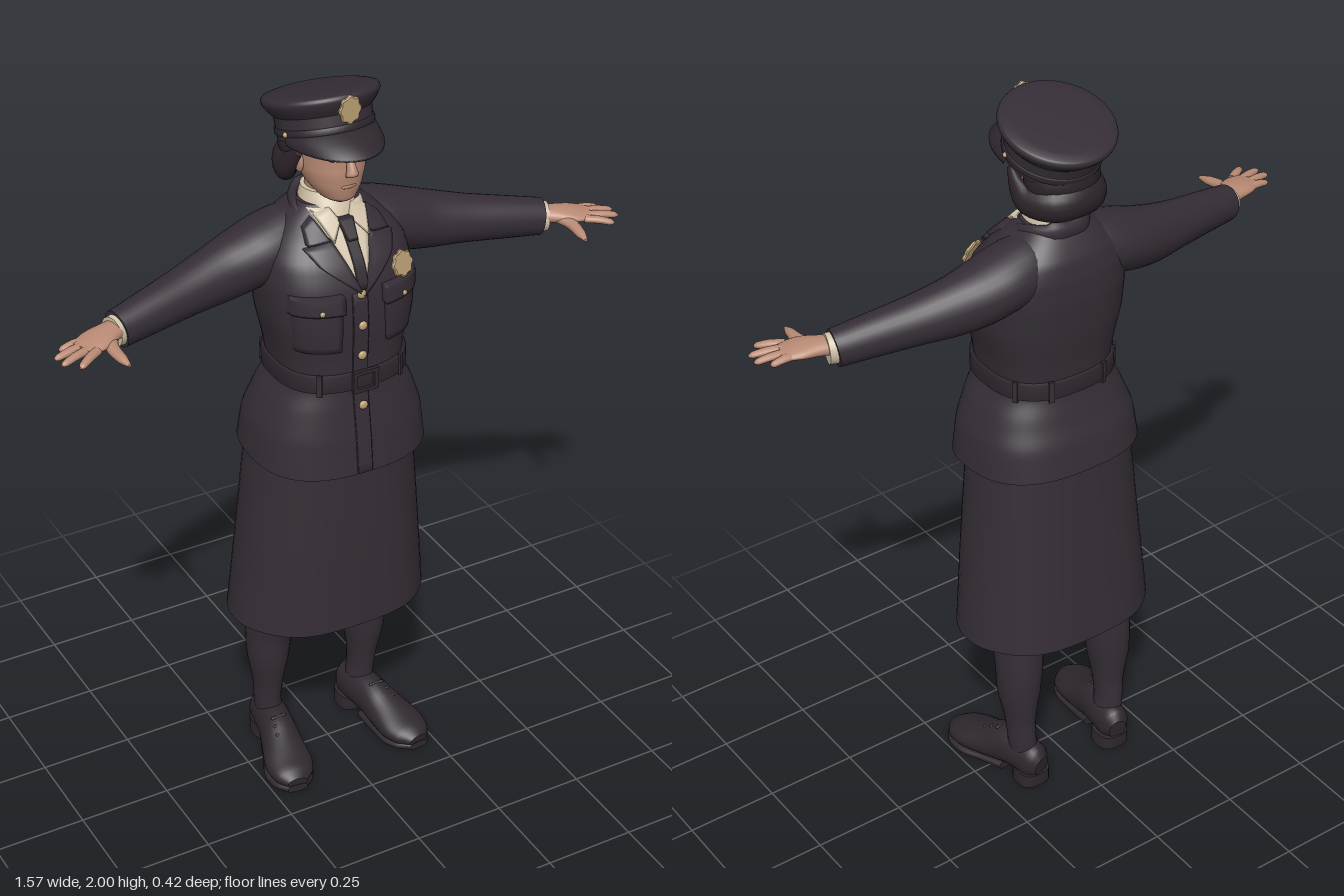
import * as THREE from 'three';

const V = (x, y, z) => new THREE.Vector3(x, y, z);
const mat = (name, color) => Object.assign(new THREE.MeshStandardMaterial({ color }), { name });
const M = {
  wool: mat('uniform wool', 0x352d36), stocking: mat('stocking', 0x352d36),
  leather: mat('dark leather', 0x2f282f), hair: mat('hair', 0x2c2329),
  skin: mat('skin', 0xb98a74), lip: mat('lip', 0xa5745f), brow: mat('brow', 0x7a6157),
  shirt: mat('cream shirt', 0xd0c1a9), brass: mat('brass', 0xbaa074),
};
const sides = [1, -1];

// Smooth skin over rows of points, optionally wrapped round and capped
function skinRows(rows, closed = false, caps = false) {
  const pos = [], idx = [], w = rows[0].length, last = rows.length - 1;
  rows.forEach(r => r.forEach(p => pos.push(p.x, p.y, p.z)));
  for (let i = 0; i < last; i++) for (let j = 0; j < (closed ? w : w - 1); j++) {
    const a = i * w + j, b = i * w + (j + 1) % w, c = a + w, d = b + w;
    idx.push(a, c, b, b, c, d);
  }
  if (caps) [0, last].forEach(k => {
    const start = pos.length / 3, mid = V(0, 0, 0);
    rows[k].forEach(p => { pos.push(p.x, p.y, p.z); mid.addScaledVector(p, 1 / w); });
    pos.push(mid.x, mid.y, mid.z);
    for (let j = 0; j < w; j++) {
      const a = start + j, b = start + (j + 1) % w;
      idx.push(start + w, k ? b : a, k ? a : b);
    }
  });
  const g = new THREE.BufferGeometry();
  g.setAttribute('position', new THREE.Float32BufferAttribute(pos, 3));
  g.setIndex(idx);
  g.computeVertexNormals();
  return g;
}

// Sections are [x, y, z, radius along ref, other radius]
function sample(S, n) {
  if (n === 1) return S;
  const a = new THREE.CatmullRomCurve3(S.map(s => V(s[0], s[1], s[2])));
  const b = new THREE.CatmullRomCurve3(S.map(s => V(s[3], s[4], 0)));
  const N = (S.length - 1) * n;
  return Array.from({ length: N + 1 }, (_, i) => {
    const p = a.getPoint(i / N), r = b.getPoint(i / N);
    return [p.x, p.y, p.z, Math.max(r.x, 0.001), Math.max(r.y, 0.001)];
  });
}
const pw = (v, e) => Math.sign(v) * Math.abs(v) ** e;
function loft(S, { n = 4, seg = 28, ref = V(1, 0, 0), dir = null, e = 1, fold = 0, caps = true } = {}) {
  const R = sample(S, n);
  const rows = R.map((s, i) => {
    const p = R[Math.max(i - 1, 0)], q = R[Math.min(i + 1, R.length - 1)];
    const d = dir || V(q[0] - p[0], q[1] - p[1], q[2] - p[2]).normalize();
    const u = ref.clone().addScaledVector(d, -ref.dot(d)).normalize();
    const v = u.clone().cross(d);
    return Array.from({ length: seg }, (_, j) => {
      const t = j / seg * Math.PI * 2, f = 1 + fold * Math.cos(6 * t) * (1 - i / R.length);
      return V(s[0], s[1], s[2]).addScaledVector(u, s[3] * f * pw(Math.cos(t), e))
        .addScaledVector(v, s[4] * f * pw(Math.sin(t), e));
    });
  });
  return skinRows(rows, true, caps);
}
const UP = V(0, 1, 0);
const body = { dir: UP, seg: 48 };
// Horizontal section from height, half width, front z and back z
const sec = (y, hw, zf, zb, x = 0) => [x, y, (zf + zb) / 2, hw, (zf - zb) / 2];

const E = 0.78;
const torso = sample([
  sec(1.0, 0.238, 0.212, -0.183), sec(1.1, 0.226, 0.202, -0.168), sec(1.18, 0.198, 0.19, -0.143),
  sec(1.25, 0.165, 0.182, -0.125), sec(1.32, 0.173, 0.181, -0.13), sec(1.42, 0.193, 0.183, -0.143),
  sec(1.5, 0.198, 0.176, -0.148), sec(1.57, 0.19, 0.15, -0.146), sec(1.62, 0.16, 0.112, -0.135),
  sec(1.66, 0.118, 0.075, -0.11), sec(1.69, 0.08, 0.05, -0.085)], 5);
function torsoAt(y) {
  let i = torso.findIndex(s => s[1] >= y);
  if (i < 1) i = i < 0 ? torso.length - 1 : 1;
  const a = torso[i - 1], b = torso[i], k = THREE.MathUtils.clamp((y - a[1]) / (b[1] - a[1]), 0, 1);
  return a.map((v, j) => v + (b[j] - v) * k);
}
function chestZ(x, y) {
  const s = torsoAt(y), q = Math.min(Math.abs(x) / s[3], 0.98);
  return s[2] + s[4] * (1 - q ** (2 / E)) ** (E / 2);
}
// Cloth plate laid on the chest; corners run anticlockwise from bottom left
function drape([A, B, C, D], off, n = 8) {
  const rows = [];
  for (let i = -1; i <= n + 1; i++) {
    const row = [], u = THREE.MathUtils.clamp(i / n, 0, 1);
    for (let j = -1; j <= n + 1; j++) {
      const v = THREE.MathUtils.clamp(j / n, 0, 1), rim = i < 0 || j < 0 || i > n || j > n;
      const [x, y] = [0, 1].map(k => (1 - v) * ((1 - u) * A[k] + u * B[k]) + v * ((1 - u) * D[k] + u * C[k]));
      row.push(V(x, y, chestZ(x, y) + (rim ? -0.008 : off)));
    }
    rows.push(row);
  }
  return skinRows(rows);
}
const flip = (q, s) => s > 0 ? q : [q[1], q[0], q[3], q[2]].map(p => [-p[0], p[1]]);

// Scalloped shield
function badge(w, h) {
  const pts = Array.from({ length: 48 }, (_, i) => {
    const t = i / 48 * Math.PI * 2, r = 0.93 + 0.07 * Math.cos(8 * t);
    return new THREE.Vector2(w * r * Math.cos(t), h * r * Math.sin(t));
  });
  return new THREE.ExtrudeGeometry(new THREE.Shape(pts), {
    depth: 0.005, bevelSize: 0.003, bevelThickness: 0.003, bevelSegments: 1 });
}

export function createModel() {
  const root = new THREE.Group();
  root.name = 'uniformedWoman';
  const add = (name, geo, m, parent = root) => {
    const mesh = new THREE.Mesh(geo, m);
    mesh.name = name;
    parent.add(mesh);
    return mesh;
  };
  const ball = (name, m, p, r) => {
    const b = add(name, new THREE.SphereGeometry(1, 20, 14), m);
    b.position.set(...p); b.scale.set(...r);
  };

  // Skirt, open at the hem, with its inside running down from a closed top
  const hem = sec(0.495, 0.274, 0.178, -0.21), skirt = { ...body, e: 0.87, caps: false };
  add('skirt', loft([hem, sec(0.75, 0.25, 0.174, -0.186), sec(1.05, 0.222, 0.163, -0.158)],
    { ...skirt, n: 6, fold: 0.012 }), M.wool);
  add('skirtLining', loft([sec(0.75, 0.005, 0.005, -0.005), sec(0.75, 0.235, 0.16, -0.17), sec(0.62, 0.25, 0.165, -0.185), hem],
    { ...skirt, n: 1, fold: 0.048 }), M.wool);

  // Jacket with the hem rising to the back, placket, belt
  const jacket = loft(torso, { ...body, n: 1, e: E }), jp = jacket.attributes.position;
  for (let i = 0; i < jp.count; i++) {
    const lift = 0.07 * (0.2 - jp.getZ(i)) * Math.max(0, (1.15 - jp.getY(i)) / 0.15);
    jp.setY(i, jp.getY(i) + lift);
  }
  jacket.computeVertexNormals();
  add('jacket', jacket, M.wool);
  add('placket', drape([[-0.03, 1.002], [0.012, 1.002], [0.012, 1.5], [-0.03, 1.5]], 0.004, 20), M.wool);
  const beltRing = (y, k) => { const s = torsoAt(y); return [0, y, s[2], s[3] + k, s[4] + k]; };
  add('belt', loft([beltRing(1.235, 0.002), beltRing(1.238, 0.009), beltRing(1.282, 0.009), beltRing(1.285, 0.002)],
    { ...body, n: 1, e: E }), M.leather);
  const frame = new THREE.Shape([[-0.036, -0.03], [0.036, -0.03], [0.036, 0.03], [-0.036, 0.03]].map(p => new THREE.Vector2(...p)));
  frame.holes.push(new THREE.Path([[-0.024, -0.019], [-0.024, 0.019], [0.024, 0.019], [0.024, -0.019]].map(p => new THREE.Vector2(...p))));
  add('buckle', new THREE.ExtrudeGeometry(frame, { depth: 0.01, bevelEnabled: false }), M.leather)
    .position.set(0, 1.26, chestZ(0, 1.26) + 0.007);
  const waist = torsoAt(1.26);
  [0.3, 0.7, 1.18, 1.38, 1.62, 1.82].forEach(k => {
    const t = k * Math.PI, loop = add('beltLoop', new THREE.BoxGeometry(0.014, 0.06, 0.007), M.wool);
    loop.position.set((waist[3] + 0.01) * pw(Math.cos(t), E), 1.26, waist[2] + (waist[4] + 0.01) * pw(Math.sin(t), E));
    loop.rotation.y = Math.PI / 2 - t;
  });
  [1.19, 1.33, 1.415, 1.5].forEach(y =>
    ball('button', M.brass, [-0.006, y, chestZ(0, y) + 0.007], [0.012, 0.012, 0.007]));

  // Shirt front, tie, neck
  add('shirtFront', drape([[-0.004, 1.5], [0.004, 1.5], [0.076, 1.685], [-0.076, 1.685]], 0.004), M.shirt);
  add('shirtCollar', loft([sec(1.64, 0.078, 0.088, -0.088), sec(1.68, 0.072, 0.07, -0.084), sec(1.718, 0.062, 0.046, -0.074)], body), M.shirt);
  add('neck', loft([sec(1.62, 0.056, 0.045, -0.065), sec(1.72, 0.05, 0.036, -0.066), sec(1.8, 0.054, 0.04, -0.07)], body), M.skin);
  add('tie', drape([[-0.014, 1.51], [0.014, 1.51], [0.015, 1.635], [-0.015, 1.635]], 0.011), M.leather);
  add('tieKnot', drape([[-0.013, 1.622], [0.013, 1.622], [0.02, 1.665], [-0.02, 1.665]], 0.022), M.leather);
  add('backCollar', loft([[0.088, 1.64, 0.052, 0.016, 0.01], [0.086, 1.668, -0.01, 0.02, 0.013], [0.055, 1.68, -0.072, 0.023, 0.014],
    [0, 1.683, -0.09, 0.023, 0.014], [-0.055, 1.68, -0.072, 0.023, 0.014], [-0.086, 1.668, -0.01, 0.02, 0.013],
    [-0.088, 1.64, 0.052, 0.016, 0.01]], { ref: UP, seg: 16 }), M.wool);

  for (const s of sides) {
    // Collar, lapels, pockets
    const cloth = (name, q, off, m) => add(name, drape(flip(q, s), off), m);
    cloth('shirtCollarWing', [[0.014, 1.66], [0.048, 1.622], [0.07, 1.675], [0.03, 1.688]], 0.016, M.shirt);
    cloth('lapel', [[0, 1.495], [0.1, 1.578], [0.122, 1.612], [0.054, 1.63]], 0.014, M.wool);
    cloth('collar', [[0.056, 1.627], [0.112, 1.62], [0.104, 1.652], [0.078, 1.672]], 0.016, M.wool);
    cloth('pocket', [[0.065, 1.355], [0.162, 1.355], [0.172, 1.48], [0.06, 1.48]], 0.013, M.wool);
    cloth('pocketFlap', [[0.056, 1.462], [0.176, 1.462], [0.174, 1.508], [0.056, 1.508]], 0.021, M.wool);
    ball('pocketButton', M.brass, [s * 0.115, 1.472, chestZ(0.115, 1.472) + 0.021], [0.007, 0.007, 0.005]);

    // Sleeve, cuff and hand
    const limb = (name, pts, m, o = {}) => add(name, loft(pts.map(p => [s * p[0], ...p.slice(1)]), o), m);
    const flat = { ref: UP };
    limb('sleeve', [[0.03, 1.595, -0.035, 0.08, 0.065], [0.1, 1.586, -0.035, 0.084, 0.085], [0.16, 1.573, -0.033, 0.081, 0.092],
      [0.22, 1.555, -0.03, 0.08, 0.086], [0.29, 1.539, -0.022, 0.076, 0.073], [0.4, 1.523, 0, 0.063, 0.061],
      [0.5, 1.51, 0.022, 0.056, 0.053], [0.598, 1.497, 0.043, 0.049, 0.046]], M.wool, flat);
    limb('cuff', [[0.58, 1.498, 0.04, 0.042, 0.039], [0.614, 1.497, 0.05, 0.039, 0.037]], M.shirt, { ...flat, n: 1 });
    limb('palm', [[0.59, 1.504, 0.043, 0.022, 0.028], [0.63, 1.506, 0.062, 0.021, 0.036], [0.67, 1.505, 0.08, 0.017, 0.045],
      [0.715, 1.501, 0.097, 0.01, 0.038]], M.skin, flat);
    [[0.69, 0.062, 0.758, 0.066], [0.7, 0.083, 0.784, 0.099], [0.695, 0.104, 0.78, 0.133], [0.685, 0.122, 0.747, 0.165]].forEach(([x, z, x2, z2]) =>
      limb('finger', [[x, 1.503, z, 0.01, 0.013], [(x + x2) / 2, 1.502, (z + z2) / 2, 0.0095, 0.012],
        [x * 0.12 + x2 * 0.88, 1.497, z * 0.12 + z2 * 0.88, 0.008, 0.0095], [x2, 1.495, z2, 0.003, 0.004]],
        M.skin, { ...flat, seg: 12 }));
    limb('thumb', [[0.63, 1.502, 0.07, 0.015, 0.02], [0.645, 1.498, 0.12, 0.013, 0.017], [0.642, 1.492, 0.17, 0.011, 0.013],
      [0.638, 1.489, 0.199, 0.004, 0.005]], M.skin, { ...flat, seg: 12 });

    // Leg and shoe
    limb('leg', [[0.14, 0.07, -0.08, 0.037, 0.045], [0.147, 0.14, -0.08, 0.036, 0.046], [0.148, 0.2, -0.075, 0.039, 0.049],
      [0.149, 0.3, -0.07, 0.056, 0.065], [0.146, 0.38, -0.068, 0.062, 0.071], [0.142, 0.46, -0.056, 0.066, 0.078],
      [0.14, 0.66, -0.04, 0.075, 0.085]], M.stocking);
    limb('shoe', [[0.13, 0.065, -0.149, 0.025, 0.032], [0.135, 0.069, -0.125, 0.042, 0.055], [0.142, 0.075, -0.07, 0.048, 0.056],
      [0.152, 0.07, -0.015, 0.05, 0.058], [0.164, 0.054, 0.04, 0.058, 0.05], [0.177, 0.041, 0.1, 0.066, 0.038],
      [0.186, 0.034, 0.145, 0.055, 0.03], [0.19, 0.03, 0.176, 0.028, 0.016]], M.leather);
    limb('sole', [[0.15, 0.013, -0.03, 0.042, 0.013], [0.164, 0.011, 0.04, 0.055, 0.011], [0.178, 0.011, 0.1, 0.067, 0.011],
      [0.187, 0.012, 0.145, 0.057, 0.011], [0.191, 0.014, 0.178, 0.028, 0.01]], M.leather, { e: 0.6 });
    limb('heel', [[0.135, 0, -0.105, 0.046, 0.044], [0.135, 0.04, -0.105, 0.044, 0.046]], M.leather, { n: 1, dir: UP, e: 0.7 });
    [[0.122, 0], [0.111, 0.022], [0.099, 0.045]].forEach(([y, z]) => {
      const lace = add('lace', new THREE.CapsuleGeometry(0.005, 0.035, 4, 8), M.leather);
      lace.position.set(s * (0.155 + z * 0.22), y, z);
      lace.rotation.z = Math.PI / 2;
    });

    // Eye, brow, ear
    ball('eye', M.brow, [s * 0.034, 1.834, 0.098], [0.017, 0.006, 0.007]);
    ball('brow', M.brow, [s * 0.037, 1.853, 0.099], [0.022, 0.005, 0.007]);
    ball('ear', M.skin, [s * 0.086, 1.805, 0.012], [0.01, 0.028, 0.018]);
  }
  const star = add('chestBadge', badge(0.035, 0.032), M.brass);
  star.position.set(0.12, 1.54, chestZ(0.12, 1.54) + 0.012);
  star.rotation.set(-0.3, 0.35, 0);

  // Head and hair
  add('head', loft([sec(1.706, 0.022, 0.082, 0.02), sec(1.718, 0.044, 0.1, -0.02), sec(1.75, 0.067, 0.107, -0.06),
    sec(1.79, 0.081, 0.11, -0.09), sec(1.83, 0.084, 0.108, -0.1), sec(1.87, 0.085, 0.113, -0.1), sec(1.91, 0.08, 0.1, -0.09)],
    { ...body, e: 0.94 }), M.skin);
  add('nose', loft([[0, 1.862, 0.106, 0.006, 0.006], [0, 1.835, 0.109, 0.009, 0.011], [0, 1.812, 0.119, 0.012, 0.014],
    [0, 1.797, 0.122, 0.016, 0.015], [0, 1.786, 0.112, 0.012, 0.006]], { seg: 16, dir: V(0, -1, 0) }), M.skin);
  ball('lips', M.lip, [0, 1.757, 0.103], [0.022, 0.006, 0.008]);
  ball('hairCap', M.hair, [0, 1.82, -0.055], [0.1, 0.085, 0.082]);
  add('hairRoll', loft([[0.094, 1.835, 0.022, 0.012, 0.01], [0.099, 1.8, -0.008, 0.026, 0.018], [0.092, 1.772, -0.045, 0.038, 0.03],
    [0.055, 1.772, -0.1, 0.045, 0.036], [0, 1.774, -0.114, 0.046, 0.036], [-0.055, 1.772, -0.1, 0.045, 0.036],
    [-0.092, 1.772, -0.045, 0.038, 0.03], [-0.099, 1.8, -0.008, 0.026, 0.018], [-0.094, 1.835, 0.022, 0.012, 0.01]],
    { ref: UP, seg: 20 }), M.hair);

  // Peaked cap, tilted back
  const cap = new THREE.Group();
  cap.name = 'cap';
  cap.position.set(0, 1.856, -0.01);
  cap.rotation.x = -0.3;
  root.add(cap);
  const disc = (y, r) => [0, y, 0, r, r * 1.02];
  add('capBand', loft([disc(0, 0.118), disc(0.068, 0.121)], { ...body, n: 1 }), M.wool, cap);
  add('capStrap', loft([disc(0.01, 0.119), disc(0.012, 0.123), disc(0.026, 0.123), disc(0.028, 0.119)], { ...body, n: 1 }), M.leather, cap);
  add('capCrown', loft([disc(0.055, 0.121), disc(0.075, 0.138), disc(0.092, 0.146), disc(0.102, 0.142), disc(0.109, 0.118), disc(0.112, 0.06), disc(0.113, 0.005)], body), M.wool, cap);
  const peak = Array.from({ length: 33 }, (_, i) => {
    const a = 0.12 + (Math.PI - 0.24) * i / 32, c = Math.cos(a), k = Math.sin(a);
    const at = (rx, y, rz) => V(c * rx, y, k * rz);
    return [at(0.116, 0.014, 0.118), at(0.121, 0.014 - 0.028 * k, 0.158), at(0.122, 0.002 - 0.05 * k, 0.188),
      at(0.121, -0.004 - 0.05 * k, 0.186), at(0.113, 0.004, 0.114)];
  });
  add('capPeak', skinRows(peak), M.leather, cap);
  const shield = add('capBadge', badge(0.028, 0.035), M.brass, cap);
  shield.position.set(0, 0.066, 0.142);
  shield.rotation.x = 0.3;
  sides.forEach(s => {
    const stud = add('capStud', new THREE.SphereGeometry(0.007, 12, 8), M.brass, cap);
    stud.position.set(s * 0.12, 0.018, 0.025);
  });
  return root;
}
